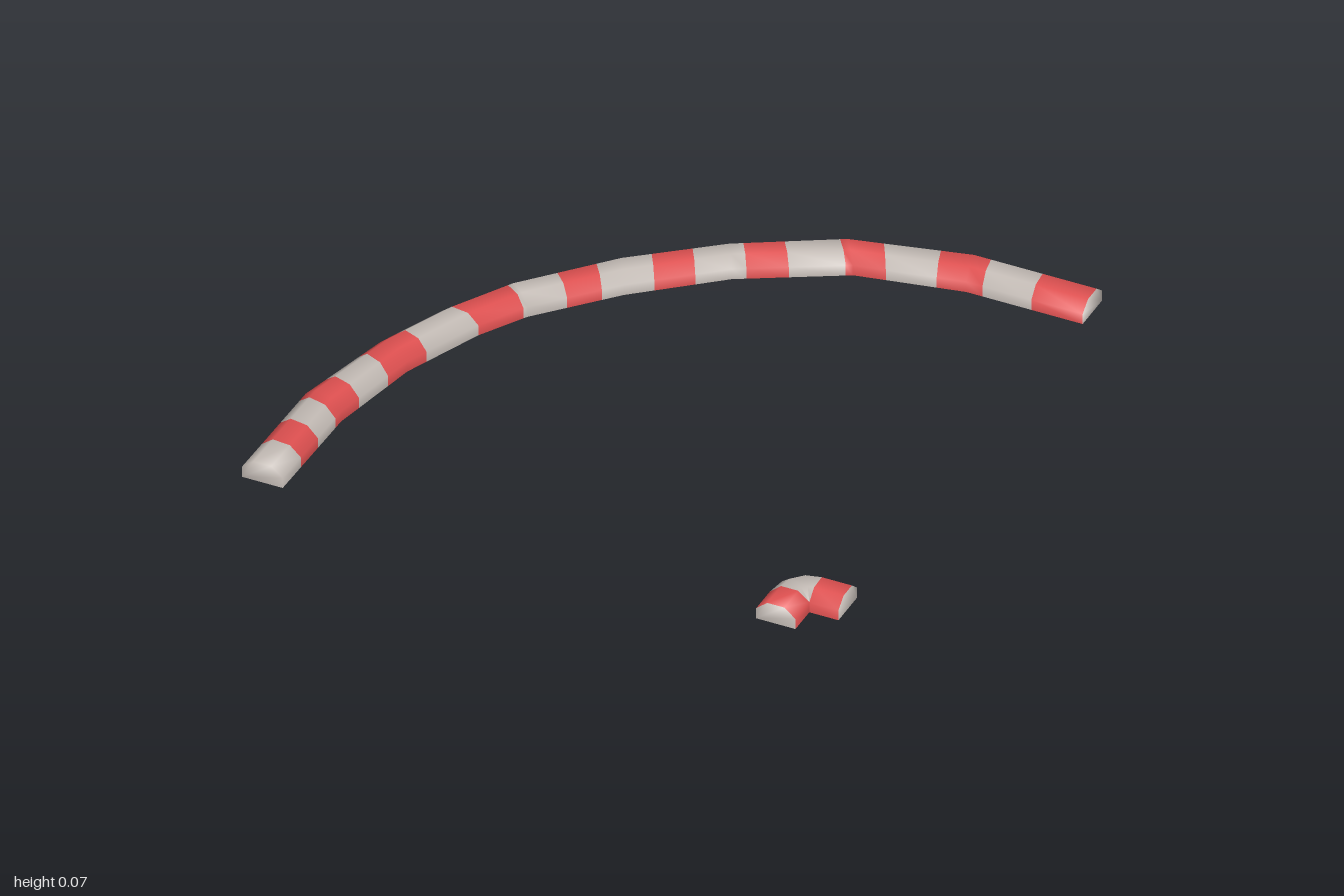
import * as THREE from 'three';

// Curb cross-section: fraction from outer to inner edge, height
const PROFILE = [[0, 0], [0, 0.038], [0.28, 0.07], [0.72, 0.07], [1, 0.038], [1, 0]];

// Sweeps the profile along stations [outerX, outerZ, innerX, innerZ].
// cuts are the station parameters where the stripe colour changes.
function buildCurb(name, stations, cuts, firstColour, materials) {
  const last = stations.length - 1;
  const params = [...new Set([...stations.keys(), ...cuts])].sort((a, b) => a - b);
  const positions = [], index = [];
  const n = PROFILE.length;
  const geometry = new THREE.BufferGeometry();

  for (const t of params) {
    const i = Math.min(Math.floor(t), last - 1);
    const s = stations[i].map((v, k) => THREE.MathUtils.lerp(v, stations[i + 1][k], t - i));
    for (const [u, y] of PROFILE) {
      positions.push(s[0] + (s[2] - s[0]) * u, y, s[1] + (s[3] - s[1]) * u);
    }
  }

  // Striped shell, open underneath
  for (let r = 0; r < params.length - 1; r++) {
    const start = index.length;
    for (let j = 0; j < n - 1; j++) {
      const a = r * n + j, b = a + n;
      index.push(a, a + 1, b + 1, a, b + 1, b);
    }
    const stripe = cuts.filter((c) => c <= params[r]).length;
    geometry.addGroup(start, index.length - start, (firstColour + stripe) % 2);
  }

  // End caps
  const capStart = index.length, e = (params.length - 1) * n;
  for (let j = 1; j < n - 1; j++) {
    index.push(0, j + 1, j, e, e + j, e + j + 1);
  }
  geometry.addGroup(capStart, index.length - capStart, 0);

  geometry.setAttribute('position', new THREE.Float32BufferAttribute(positions, 3));
  geometry.setIndex(index);
  geometry.computeVertexNormals();
  const mesh = new THREE.Mesh(geometry, materials);
  mesh.name = name;
  return mesh;
}

export function createModel() {
  const model = new THREE.Group();
  model.name = 'trackCurbs';

  const grey = new THREE.MeshStandardMaterial({ color: 0xc2bab4, side: THREE.DoubleSide });
  grey.name = 'warmGrey';
  const red = new THREE.MeshStandardMaterial({ color: 0xde5050, side: THREE.DoubleSide });
  red.name = 'curbRed';
  const materials = [grey, red];

  // Long curb around the outside of the bend
  const outer = [
    [-1, 1, -0.86, 1],
    [-0.99, 0.56, -0.85, 0.6],
    [-0.9, 0.21, -0.78, 0.27],
    [-0.8, -0.02, -0.665, 0],
    [-0.675, -0.23, -0.57, -0.155],
    [-0.42, -0.51, -0.35, -0.39],
    [-0.15, -0.72, -0.085, -0.61],
    [0.165, -0.9, 0.245, -0.79],
    [0.57, -1, 0.6, -0.86],
    [1, -1, 1, -0.86],
  ];
  const outerCuts = [0.31, 0.6, 0.9, 1.27, 1.71, 2.27, 3, 3.92, 4.41, 4.77,
    5.28, 5.66, 6.12, 6.47, 6.94, 7.29, 7.74, 8.14, 8.56];
  model.add(buildCurb('outerCurb', outer, outerCuts, 0, materials));

  // Short curb turning about the inside corner
  const inner = [
    [0.765, 1, 0.9, 1],
    [0.765, 0.9, 0.9, 0.9],
    [0.775, 0.835, 0.9, 0.9],
    [0.825, 0.782, 0.9, 0.9],
    [0.895, 0.765, 0.9, 0.9],
    [1, 0.765, 1, 0.9],
  ];
  model.add(buildCurb('innerCurb', inner, [1, 4], 1, materials));

  return model;
}
